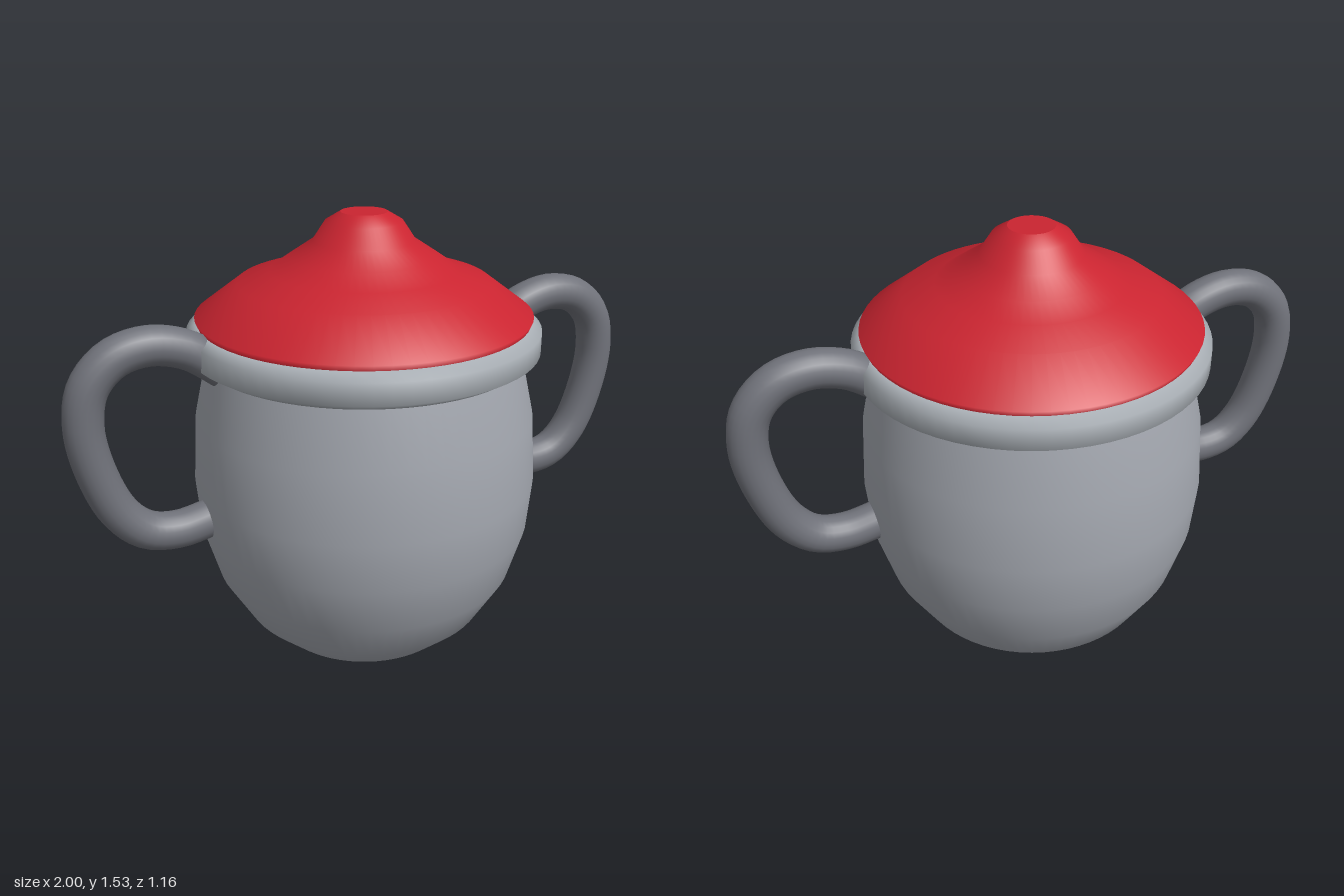
import * as THREE from 'three';

const mat = (name, color) => {
  const m = new THREE.MeshStandardMaterial({ color });
  m.name = name;
  return m;
};

export function createModel() {
  const group = new THREE.Group();
  group.name = 'lidded two-handled pot';
  const bodyGrey = mat('body grey', 0xa3a7af);
  const rimGrey = mat('rim grey', 0xabb1b7);
  const handleGrey = mat('handle grey', 0x70727a);
  const lidRed = mat('lid red', 0xca2430);

  const add = (name, geometry, material, parent = group) => {
    const mesh = new THREE.Mesh(geometry, material);
    mesh.name = name;
    parent.add(mesh);
    return mesh;
  };
  // Turned part; profile runs from bottom to top
  const turned = (name, points, material) =>
    add(name, new THREE.LatheGeometry(points.map(p => new THREE.Vector2(...p)), 64), material);

  // Bowl and its flat base
  turned('body', [[0.23, 0], [0.32, 0.06], [0.425, 0.155], [0.515, 0.305], [0.565, 0.475],
    [0.58, 0.645], [0.565, 0.87], [0.52, 1.07], [0.515, 1.1]], bodyGrey);
  turned('base', [[0, 0], [0.23, 0]], bodyGrey);

  // Rounded rim band
  turned('rim', [[0.49, 1.07], [0.54, 1.07], [0.578, 1.093], [0.578, 1.163],
    [0.545, 1.187], [0.49, 1.187]], rimGrey);

  // Lid sweeping up to a flat-topped knob
  turned('lid', [[0.54, 1.18], [0.55, 1.205], [0.41, 1.31], [0.305, 1.345], [0.24, 1.39],
    [0.165, 1.44], [0.125, 1.5], [0.075, 1.53]], lidRed);
  turned('knobTop', [[0.075, 1.53], [0, 1.53]], lidRed);

  // Matching handles, their ends set into the wall
  const path = [[0.48, 1.07], [0.53, 1.11], [0.61, 1.16], [0.72, 1.185], [0.83, 1.16], [0.91, 1.08],
    [0.936, 0.96], [0.912, 0.8], [0.85, 0.65], [0.77, 0.573], [0.67, 0.553], [0.54, 0.575]];
  const curve = new THREE.CatmullRomCurve3(path.map(([x, y]) => new THREE.Vector3(x, y, 0)));
  const tube = new THREE.TubeGeometry(curve, 48, 0.063, 20);
  add('leftHandle', tube, handleGrey);
  add('rightHandle', tube, handleGrey).rotation.y = Math.PI;

  return group;
}
